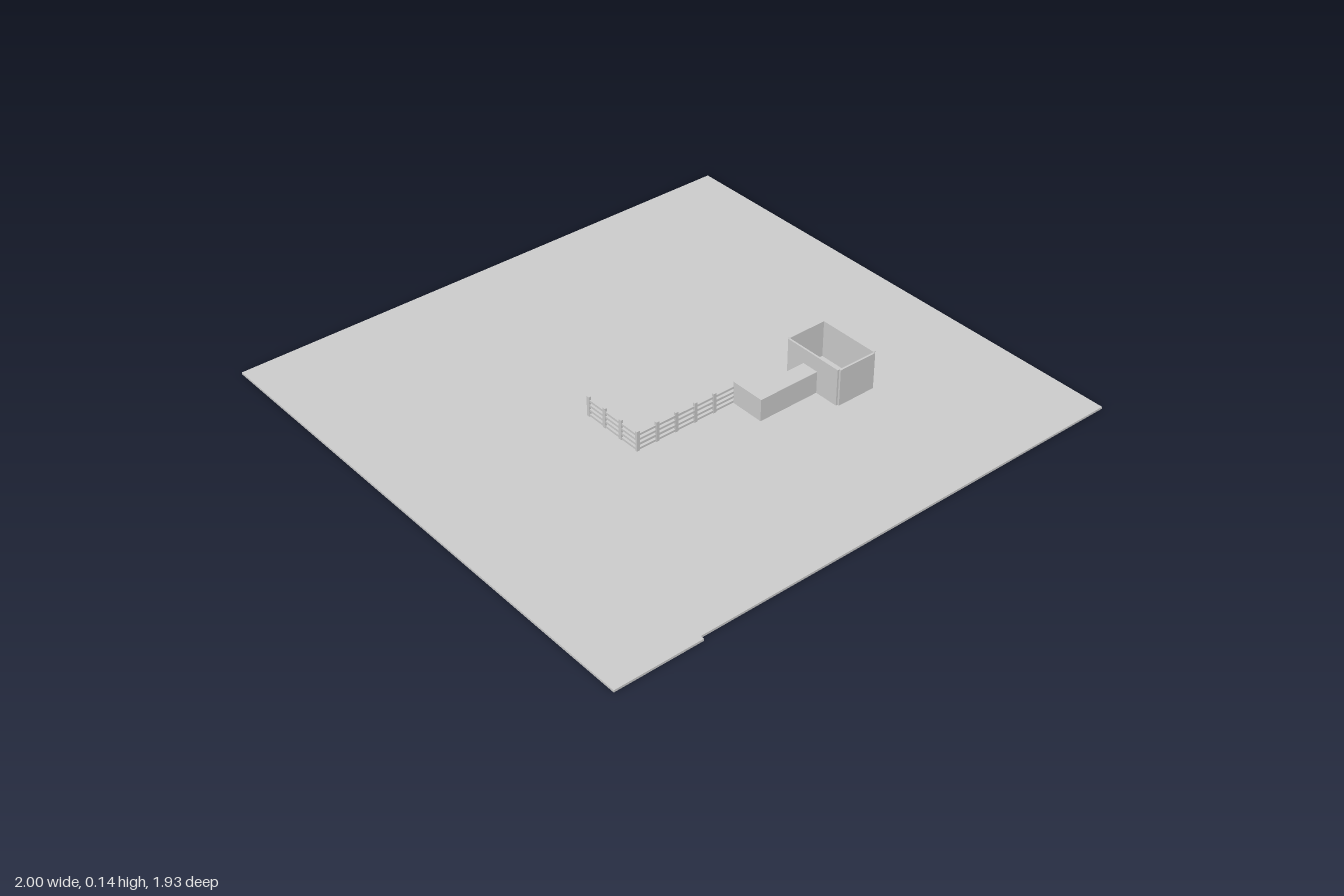
import * as THREE from 'three';

const material = new THREE.MeshStandardMaterial({ color: 0xcccccc, flatShading: true, side: THREE.DoubleSide });
const FLOOR = 0.008;

// Box given by its extents on each axis
function block(name, [x0, x1], [y0, y1], [z0, z1]) {
  const mesh = new THREE.Mesh(new THREE.BoxGeometry(x1 - x0, y1 - y0, z1 - z0), material);
  mesh.position.set((x0 + x1) / 2, (y0 + y1) / 2, (z0 + z1) / 2);
  mesh.name = name;
  return mesh;
}

// Flat plan outline (x, z) raised from y0 to y1
function slab(name, points, y0, y1) {
  const shape = new THREE.Shape(points.map(([x, z]) => new THREE.Vector2(x, -z)));
  const geometry = new THREE.ExtrudeGeometry(shape, { depth: y1 - y0, bevelEnabled: false });
  geometry.rotateX(-Math.PI / 2).translate(0, y0, 0);
  const mesh = new THREE.Mesh(geometry, material);
  mesh.name = name;
  return mesh;
}

// Straight run of fence along +x: four rails and evenly spaced posts
function fence(name, length, postPositions) {
  const run = new THREE.Group();
  run.name = name;
  for (let i = 0; i < 4; i++) {
    const y = 0.014 + i * 0.018;
    run.add(block('rail', [0, length], [y - 0.004, y + 0.004], [-0.002, 0.002]));
  }
  for (const x of postPositions) {
    run.add(block('post', [x - 0.006, x + 0.006], [0, 0.083], [-0.004, 0.004]));
  }
  return run;
}

export function createModel() {
  const model = new THREE.Group();
  model.name = 'stockPen';

  // Ground with a shallow step along its front edge
  model.add(slab('ground', [
    [-1, -0.967], [1, -0.967], [1, 0.953], [-0.68, 0.953], [-0.68, 0.967], [-1, 0.967],
  ], 0, FLOOR));

  // Tall open-topped pen with notched corners
  const pen = new THREE.Group();
  pen.name = 'pen';
  const t = 0.007, height = [0, 0.145];
  const [x0, x1, z0, z1] = [0.355, 0.52, 0.168, 0.412];
  for (const x of [x0, x1 - t]) pen.add(block('sideWall', [x, x + t], height, [z0 + t, z1 - t]));
  for (const z of [z0, z1 - t]) pen.add(block('endWall', [x0 + t, x1 - t], height, [z, z + t]));
  model.add(pen);

  // Low L-shaped covered passage, open at its back end
  const passage = new THREE.Group();
  passage.name = 'passage';
  const w = 0.003, roof = 0.09, wall = [0, roof - w];
  passage.add(slab('roof', [
    [0.115, 0.184], [0.177, 0.184], [0.177, 0.25], [0.355, 0.25], [0.355, 0.314], [0.115, 0.314],
  ], roof - w, roof));
  passage.add(
    block('outerSideWall', [0.115, 0.115 + w], wall, [0.184, 0.314]),
    block('frontWall', [0.115 + w, 0.355], wall, [0.314 - w, 0.314]),
    block('innerSideWall', [0.177 - w, 0.177], wall, [0.184, 0.25]),
    block('backWall', [0.177, 0.355], wall, [0.25, 0.25 + w]),
  );
  model.add(passage);

  // Two fence runs meeting at a corner
  const longFence = fence('longFence', 0.393, [0, 1, 2, 3, 4].map((i) => i * 0.078));
  longFence.position.set(-0.278, 0, 0.184);
  const shortFence = fence('shortFence', 0.24, [1, 2, 3].map((i) => i * 0.08));
  shortFence.rotation.y = Math.PI / 2;
  shortFence.position.set(-0.28, 0, 0.184);
  model.add(longFence, shortFence);

  return model;
}
